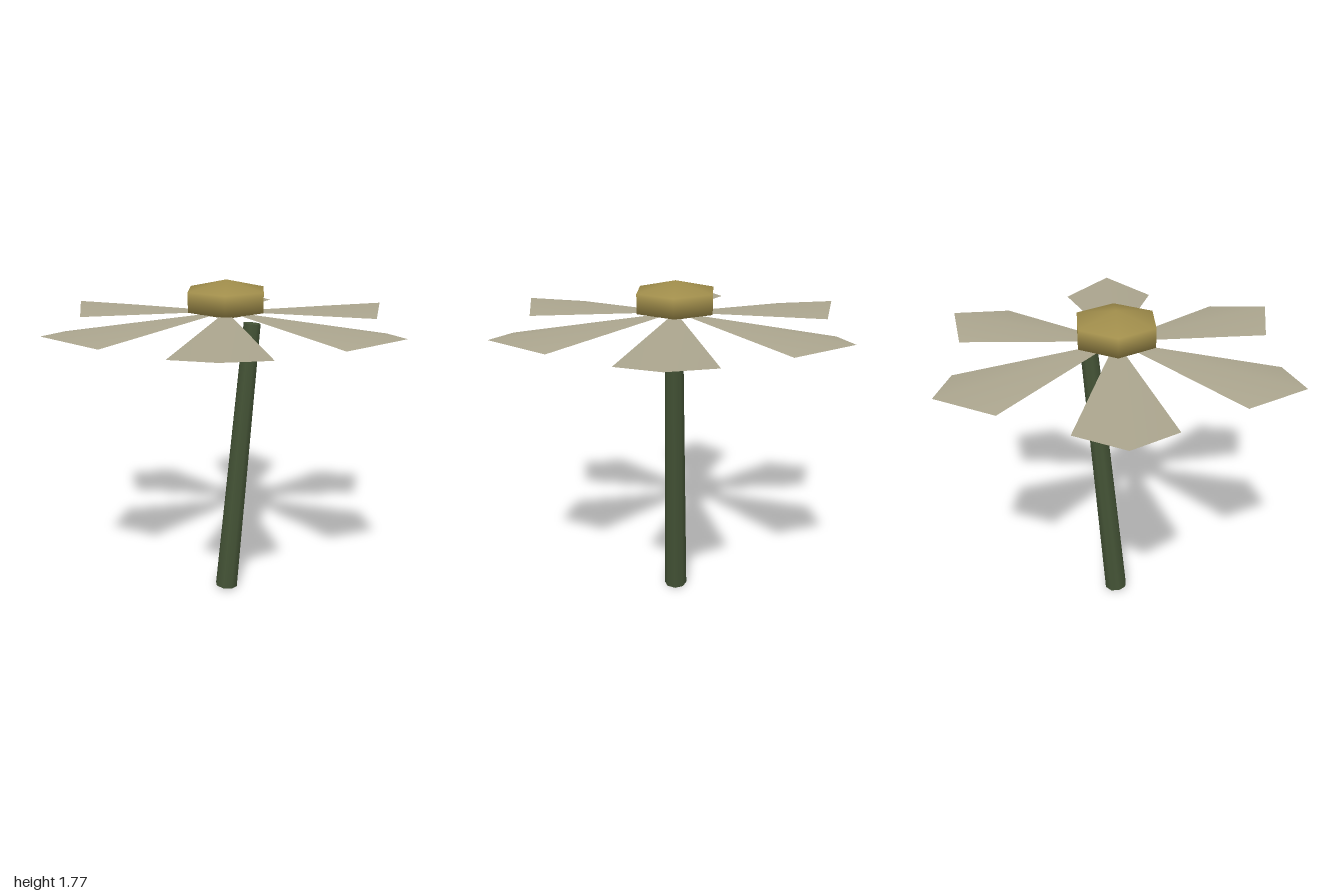
import * as THREE from 'three';

export function createModel() {
  const flower = new THREE.Group();
  flower.name = 'flower';

  const petalCream = new THREE.MeshStandardMaterial({ color: 0xaaa48d, side: THREE.DoubleSide });
  petalCream.name = 'petal cream';
  const headGold = new THREE.MeshStandardMaterial({ color: 0xa08d4b });
  headGold.name = 'head gold';
  const stemGreen = new THREE.MeshStandardMaterial({ color: 0x435235 });
  stemGreen.name = 'stem green';

  // Leaning, tapered stem
  const base = new THREE.Vector3(0, 0.006, 0);
  const top = new THREE.Vector3(0.156, 1.527, 0);
  const axis = top.clone().sub(base);
  const stem = new THREE.Mesh(new THREE.CylinderGeometry(0.047, 0.063, axis.length(), 8), stemGreen);
  stem.name = 'stem';
  stem.position.copy(base).add(top).multiplyScalar(0.5);
  stem.quaternion.setFromUnitVectors(new THREE.Vector3(0, 1, 0), axis.normalize());
  flower.add(stem);

  // Flattened six-sided flower head
  const head = new THREE.Mesh(new THREE.SphereGeometry(0.258, 6, 3).scale(1, 0.4, 1), headGold);
  head.name = 'flowerHead';
  head.position.y = 1.668;
  flower.add(head);

  // Kite-shaped petal with a soft ridge: root, side, tip, side
  const petalGeometry = new THREE.BufferGeometry();
  petalGeometry.setAttribute('position', new THREE.Float32BufferAttribute([
    0, 0, 0, 0.8, -0.072, 0.24, 1, -0.035, 0, 0.8, -0.072, -0.24,
  ], 3));
  petalGeometry.setIndex([0, 1, 2, 0, 2, 3]);
  petalGeometry.computeVertexNormals();

  // Ring of six petals
  for (let i = 0; i < 6; i++) {
    const petal = new THREE.Mesh(petalGeometry, petalCream);
    petal.name = `petal${i + 1}`;
    petal.position.y = 1.605;
    petal.rotation.y = (i * Math.PI) / 3;
    flower.add(petal);
  }

  return flower;
}
